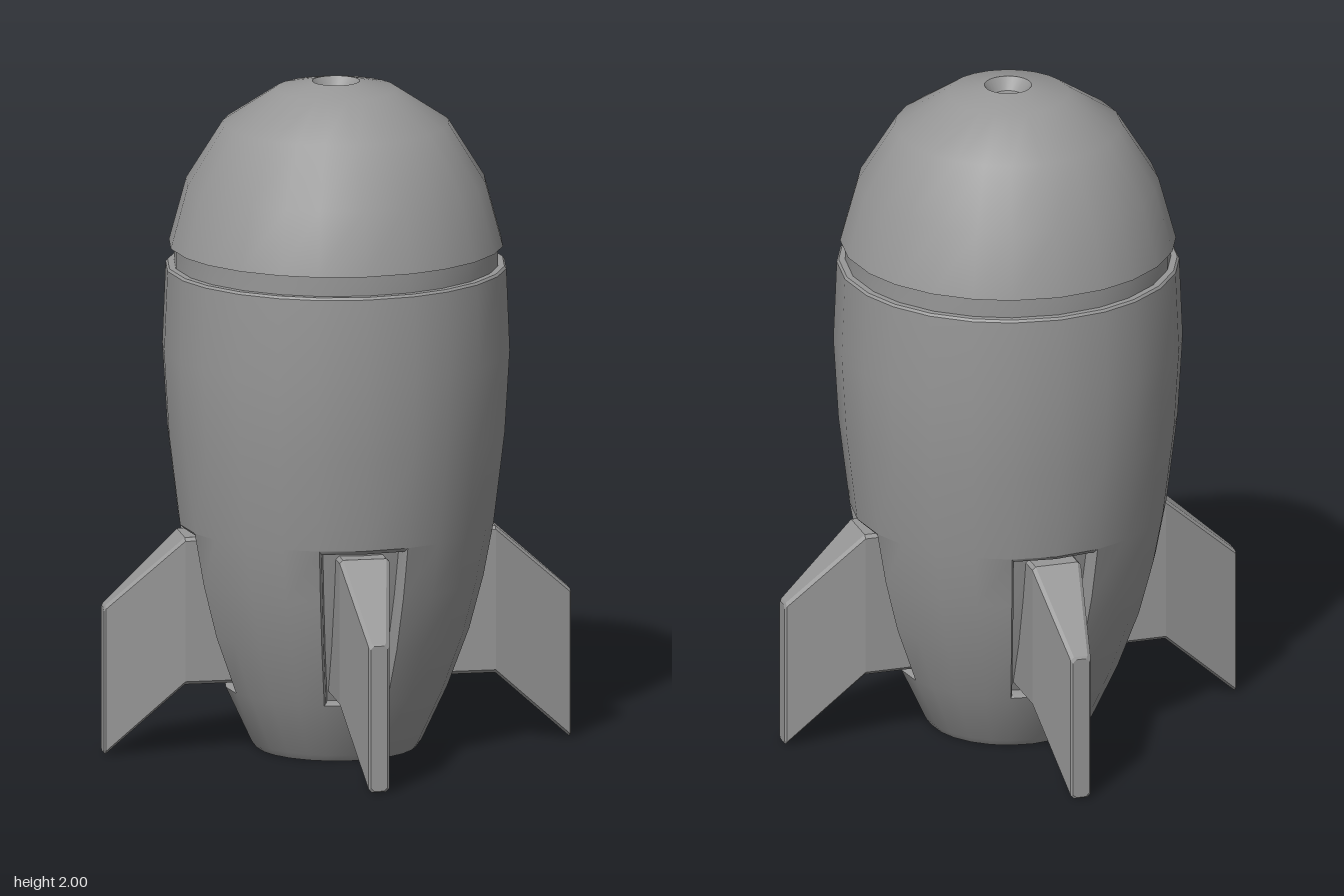
import * as THREE from 'three';
import { toCreasedNormals } from 'three/addons/utils/BufferGeometryUtils.js';

const material = new THREE.MeshStandardMaterial({ color: 0x979797 });

// Collects quads (corners counter-clockwise from outside) into a mesh.
class Builder {
  constructor() { this.pos = []; }
  tri(a, b, c) {
    const area = b.clone().sub(a).cross(c.clone().sub(a)).length();
    if (area > 1e-9) for (const p of [a, b, c]) this.pos.push(p.x, p.y, p.z);
  }
  quad(a, b, c, d) { this.tri(a, b, c); this.tri(a, c, d); }
  mesh(name, crease) {
    const g = new THREE.BufferGeometry();
    g.setAttribute('position', new THREE.Float32BufferAttribute(this.pos, 3));
    const m = new THREE.Mesh(toCreasedNormals(g, crease), material);
    m.name = name;
    return m;
  }
}

const polar = (deg, [r, y]) => {
  const t = THREE.MathUtils.degToRad(deg);
  return new THREE.Vector3(r * Math.sin(t), y, r * Math.cos(t));
};

// Columns around the hull; the pockets span +-SLOT degrees at each quarter.
const SLOT = 16.5;
const angles = [];
for (let q = 0; q < 4; q++) for (const a of [0, SLOT, 30, 45, 60, 90 - SLOT]) angles.push(q * 90 + a);
angles.push(360);

// Revolves a profile (from the bottom upward) over the columns.
function revolve(b, profile, keep = () => true) {
  for (let i = 0; i < angles.length - 1; i++) {
    const a0 = angles[i], a1 = angles[i + 1];
    for (let j = 0; j < profile.length - 1; j++) {
      if (!keep(i, j)) continue;
      const p = profile[j], q = profile[j + 1];
      b.quad(polar(a0, p), polar(a1, p), polar(a1, q), polar(a0, q));
    }
  }
}

// Hull with four fin pockets
function makeHull() {
  const b = new Builder();
  const tail = [[0, 0.09], [0.165, 0.09], [0.168, 0.012], [0.18, 0], [0.238, 0], [0.253, 0.02], [0.33, 0.185]];
  const pocket = [[0.33, 0.185], [0.395, 0.36], [0.437, 0.52], [0.467, 0.68]];
  const upper = [[0.467, 0.68], [0.5, 0.95], [0.515, 1.2], [0.505, 1.445], [0.499, 1.452], [0.48, 1.452]];
  const isSlot = (i) => i % 6 === 0 || i % 6 === 5;
  const first = tail.length - 1, last = first + pocket.length - 1;
  revolve(b, [...tail, ...pocket.slice(1), ...upper.slice(1)],
    (i, j) => !(isSlot(i) && j >= first && j < last));

  // Each pocket steps inward through a bevel to a sunken floor
  const end = pocket.length - 1;
  const levels = [[0, 0, 0], [0.012, 0.7, 0.012], [0.05, 0.7, 0.012]].map(([depth, turn, drop]) => ({
    half: SLOT - turn,
    line: pocket.map(([r, y], j) => [r - depth, j === end ? y - drop : j === 0 ? y + drop / 2 : y]),
  }));
  for (let c = 0; c < 360; c += 90) {
    for (let k = 0; k < levels.length - 1; k++) {
      const { half: h, line: p } = levels[k], { half: g, line: q } = levels[k + 1];
      for (let j = 0; j < end; j++) {
        b.quad(polar(c - h, p[j]), polar(c - g, q[j]), polar(c - g, q[j + 1]), polar(c - h, p[j + 1]));
        b.quad(polar(c + g, q[j]), polar(c + h, p[j]), polar(c + h, p[j + 1]), polar(c + g, q[j + 1]));
      }
      for (const [s, t] of [[-1, 0], [0, 1]]) {
        b.quad(polar(c + s * h, p[0]), polar(c + t * h, p[0]), polar(c + t * g, q[0]), polar(c + s * g, q[0]));
        b.quad(polar(c + s * g, q[end]), polar(c + t * g, q[end]), polar(c + t * h, p[end]), polar(c + s * h, p[end]));
      }
    }
    const { half, line } = levels[levels.length - 1];
    for (const [a0, a1] of [[c - half, c], [c, c + half]])
      for (let j = 0; j < end; j++)
        b.quad(polar(a0, line[j]), polar(a1, line[j]), polar(a1, line[j + 1]), polar(a0, line[j + 1]));
  }
  return b.mesh('hull', 0.62);
}

// Neck groove and domed nose with a small pit at the tip
function makeNose() {
  const b = new Builder();
  revolve(b, [[0.48, 1.45], [0.48, 1.51], [0.495, 1.512], [0.444, 1.7], [0.335, 1.875],
    [0.18, 1.977], [0.07, 2], [0.042, 1.965], [0, 1.965]]);
  return b.mesh('noseCone', 0.62);
}

// Tapered fin along +z, lofted through chamfered sections: [out, bottom, top, half width]
function makeFin() {
  const b = new Builder();
  const sections = [
    [0.25, 0.212, 0.655, 0.075], [0.465, 0.212, 0.655, 0.075],
    [0.695, 0.002, 0.45, 0.031], [0.7, 0.006, 0.443, 0.025],
  ];
  const bevel = 0.01;
  const rings = sections.map(([z, y0, y1, w]) => [
    [-w + bevel, y0], [w - bevel, y0], [w, y0 + bevel], [w, y1 - bevel],
    [w - bevel, y1], [-w + bevel, y1], [-w, y1 - bevel], [-w, y0 + bevel],
  ].map(([x, y]) => new THREE.Vector3(x, y, z)));
  for (let s = 0; s < rings.length - 1; s++)
    for (let k = 0; k < 8; k++) {
      const n = (k + 1) % 8;
      b.quad(rings[s][k], rings[s][n], rings[s + 1][n], rings[s + 1][k]);
    }
  const tip = rings[rings.length - 1];
  for (let k = 1; k < 7; k++) b.tri(tip[0], tip[k], tip[k + 1]);
  return b.mesh('fin', 0.15);
}

export function createModel() {
  const model = new THREE.Group();
  model.name = 'rocket';
  model.add(makeHull(), makeNose());
  const fin = makeFin();
  ['frontFin', 'leftFin', 'backFin', 'rightFin'].forEach((name, i) => {
    const f = fin.clone();
    f.name = name;
    f.rotation.y = i * Math.PI / 2;
    model.add(f);
  });
  return model;
}
